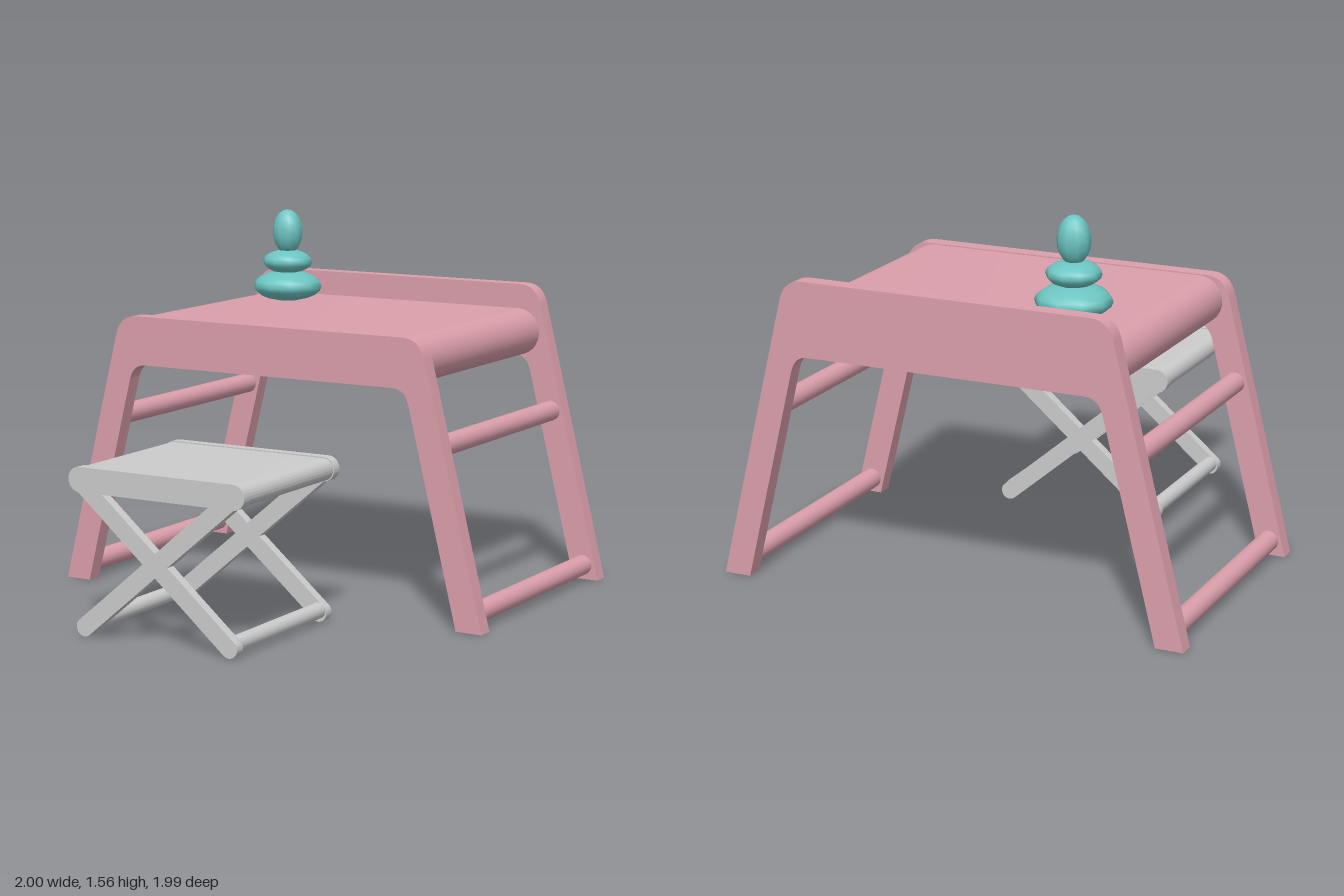
import * as THREE from 'three';
import { toCreasedNormals } from 'three/addons/utils/BufferGeometryUtils.js';

const pink = new THREE.MeshStandardMaterial({ color: 0xdb9fab });
const teal = new THREE.MeshStandardMaterial({ color: 0x6cc5c2 });
const grey = new THREE.MeshStandardMaterial({ color: 0xcccccc });

function add(parent, name, geometry, material) {
  const mesh = new THREE.Mesh(geometry, material);
  mesh.name = name;
  parent.add(mesh);
  return mesh;
}

// Extrudes an xy outline from z0 to z1, with smooth curves and sharp edges
function extrude(shape, z0, z1) {
  const g = new THREE.ExtrudeGeometry(shape, { depth: z1 - z0, bevelEnabled: false, curveSegments: 12 });
  g.translate(0, 0, z0);
  return toCreasedNormals(g, 0.6);
}

// Round-ended bar outline between two points
function barShape(x0, y0, x1, y1, r) {
  const a = Math.atan2(y1 - y0, x1 - x0);
  const s = new THREE.Shape();
  s.absarc(x1, y1, r, a - Math.PI / 2, a + Math.PI / 2);
  s.absarc(x0, y0, r, a + Math.PI / 2, a + Math.PI * 1.5);
  s.closePath();
  return s;
}

// Round rod running along z
function addRod(parent, name, x, y, r, z0, z1, material) {
  const rod = add(parent, name, new THREE.CylinderGeometry(r, r, z1 - z0, 20), material);
  rod.rotation.x = Math.PI / 2;
  rod.position.set(x, y, (z0 + z1) / 2);
}

// Splayed desk frame: two legs joined by a beam with rounded corners
function frameShape(top) {
  const slope = 0.248;
  const edge = (y) => 1 - slope * y;
  const yc = top - 0.085;
  const xt = edge(top) - 0.08;
  const s = new THREE.Shape();
  s.moveTo(1, 0);
  s.lineTo(edge(yc), yc);
  s.quadraticCurveTo(edge(top), top, xt, top);
  s.lineTo(-xt, top);
  s.quadraticCurveTo(-edge(top), top, -edge(yc), yc);
  s.lineTo(-1, 0);
  s.lineTo(-0.885, 0);
  s.lineTo(-0.665, 0.89);
  s.quadraticCurveTo(-0.648, 0.955, -0.59, 0.955);
  s.lineTo(0.59, 0.955);
  s.quadraticCurveTo(0.648, 0.955, 0.665, 0.89);
  s.lineTo(0.885, 0);
  s.closePath();
  return s;
}

function createDesk() {
  const desk = new THREE.Group();
  desk.name = 'desk';
  add(desk, 'backFrame', extrude(frameShape(1.26), -0.995, -0.925), pink);
  add(desk, 'frontFrame', extrude(frameShape(1.16), 0.11, 0.18), pink);
  add(desk, 'deskTop', extrude(barShape(-0.605, 1.055, 0.605, 1.055, 0.1), -0.93, 0.115), pink);
  for (const side of [-1, 1]) {
    addRod(desk, 'lowerRail', side * 0.928, 0.062, 0.043, -0.93, 0.115, pink);
    addRod(desk, 'upperRail', side * 0.765, 0.722, 0.043, -0.93, 0.115, pink);
  }
  return desk;
}

function createStool() {
  const stool = new THREE.Group();
  stool.name = 'stool';
  for (const z of [0.275, 0.952]) {
    add(stool, 'seatRail', extrude(barShape(-0.353, 0.627, 0.357, 0.627, 0.05), z, z + 0.043), grey);
    // Crossed legs
    for (const side of [-1, 1]) {
      add(stool, 'leg', extrude(barShape(side * 0.335, 0.037, side * -0.352, 0.62, 0.037), z, z + 0.043), grey);
    }
  }
  add(stool, 'seat', extrude(barShape(-0.355, 0.627, 0.357, 0.627, 0.045), 0.28, 0.99), grey);
  for (const side of [-1, 1]) {
    addRod(stool, 'footRod', side * 0.335, 0.047, 0.033, 0.31, 0.96, grey);
  }
  return stool;
}

// Three stacked pebbles: [centre height, radius, half height]
function createOrnament() {
  const ornament = new THREE.Group();
  ornament.name = 'ornament';
  const pebbles = [[1.22, 0.153, 0.066], [1.327, 0.11, 0.052], [1.458, 0.067, 0.098]];
  for (const [y, r, h] of pebbles) {
    const pebble = add(ornament, 'pebble', new THREE.SphereGeometry(1, 10, 10), teal);
    pebble.scale.set(r, h, r);
    pebble.rotation.y = Math.PI / 2;
    pebble.position.y = y;
  }
  ornament.position.set(-0.397, 0, -0.665);
  return ornament;
}

export function createModel() {
  const model = new THREE.Group();
  model.name = 'deskAndStool';
  model.add(createDesk(), createStool(), createOrnament());
  return model;
}
